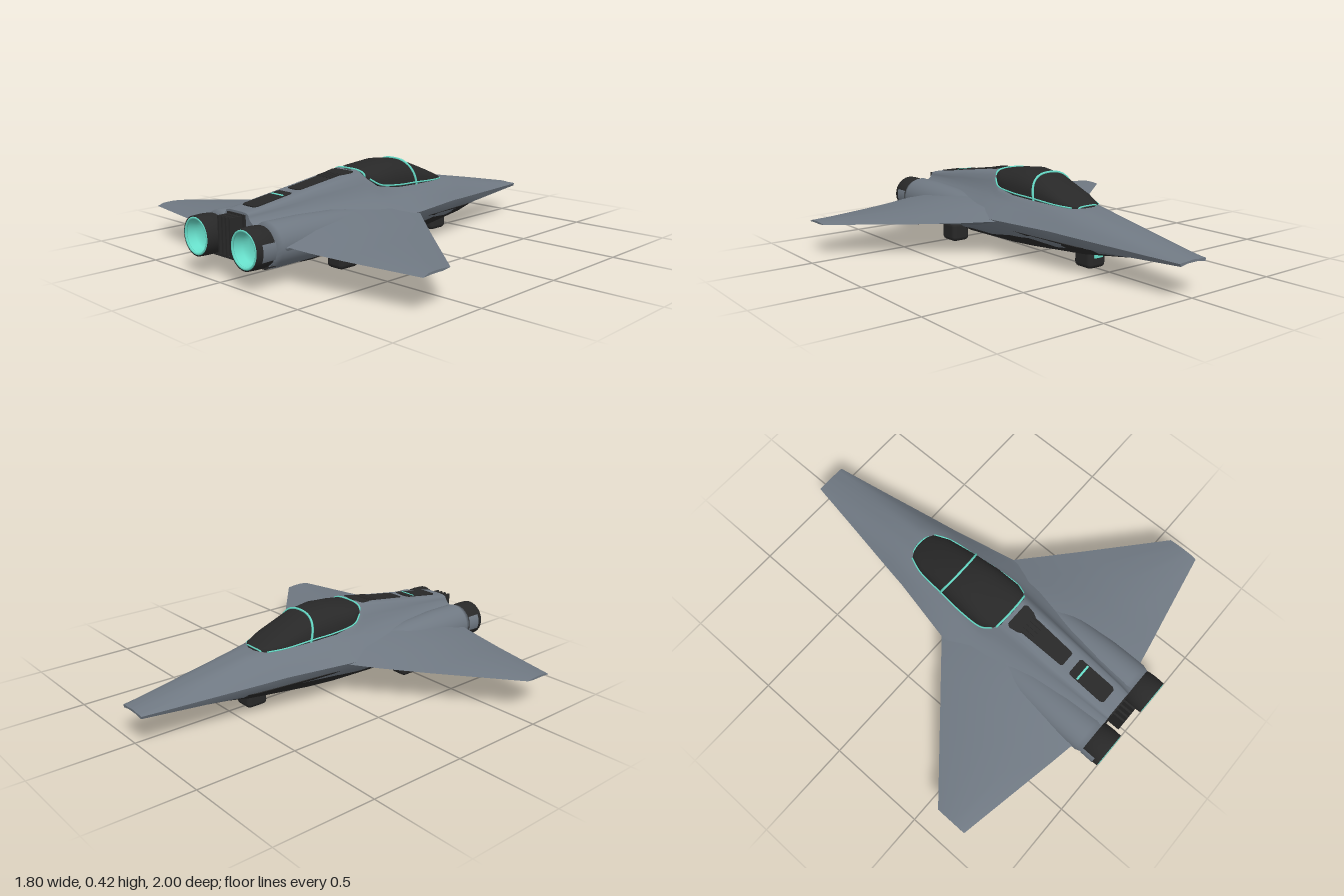
import * as THREE from 'three';
import { toCreasedNormals } from 'three/addons/utils/BufferGeometryUtils.js';
import { RoundedBoxGeometry } from 'three/addons/geometries/RoundedBoxGeometry.js';

const V = (x, y, z) => new THREE.Vector3(x, y, z);

// Skin a list of equal-length closed rings and cap both ends
function loft(rings, crease = 0.7) {
  const n = rings[0].length, pos = [], idx = [];
  rings.forEach(r => r.forEach(p => pos.push(p.x, p.y, p.z)));
  for (let i = 0; i < rings.length - 1; i++) {
    for (let j = 0; j < n; j++) {
      const a = i * n + j, b = i * n + (j + 1) % n;
      idx.push(a, a + n, b, b, a + n, b + n);
    }
  }
  [0, rings.length - 1].forEach(i => {
    const c = rings[i].reduce((s, p) => s.add(p), V(0, 0, 0)).divideScalar(n);
    const k = pos.length / 3;
    pos.push(c.x, c.y, c.z);
    for (let j = 0; j < n; j++) {
      const a = i * n + j, b = i * n + (j + 1) % n;
      if (i === 0) idx.push(k, a, b); else idx.push(k, b, a);
    }
  });
  const g = new THREE.BufferGeometry();
  g.setAttribute('position', new THREE.Float32BufferAttribute(pos, 3));
  g.setIndex(idx);
  return toCreasedNormals(g, crease);
}

// Half section from top centre to bottom centre, mirrored into a ring
function mirrorRing(half, z) {
  const left = half.map(p => V(p[0], p[1], z));
  const right = half.slice(1, -1).reverse().map(p => V(-p[0], p[1], z));
  return [...left, ...right];
}

// Fuselage: z, crown y, crown half width, shoulder x y, chine x y, floor half width, floor y
const HULL = [
  [-1, 0.167, 0.04, 0.065, 0.163, 0.08, 0.16, 0.05, 0.155],
  [-0.7, 0.225, 0.05, 0.095, 0.203, 0.131, 0.17, 0.085, 0.127],
  [-0.42, 0.275, 0.06, 0.125, 0.235, 0.18, 0.18, 0.12, 0.102],
  [-0.3, 0.285, 0.08, 0.142, 0.25, 0.2, 0.185, 0.14, 0.095],
  [0.03, 0.3, 0.11, 0.165, 0.26, 0.27, 0.19, 0.17, 0.085],
  [0.17, 0.318, 0.12, 0.165, 0.265, 0.27, 0.185, 0.18, 0.08],
  [0.25, 0.39, 0.085, 0.155, 0.28, 0.27, 0.183, 0.18, 0.078],
  [0.55, 0.346, 0.08, 0.13, 0.27, 0.27, 0.175, 0.19, 0.075],
  [0.85, 0.302, 0.075, 0.105, 0.26, 0.27, 0.17, 0.2, 0.075],
  [0.9, 0.295, 0.07, 0.1, 0.255, 0.25, 0.17, 0.2, 0.078],
];
function hullRing([z, yt, fx, mx, my, cx, cy, bx, by]) {
  const top = new THREE.SplineCurve([[0, yt], [fx, yt - 0.004], [mx, my], [cx, cy]]
    .map(p => new THREE.Vector2(...p))).getPoints(12).map(p => [p.x, p.y]);
  return mirrorRing([...top, [(cx + bx) / 2 + 0.01, (cy + by) / 2 - 0.01], [bx, by], [0, by]], z);
}

// Canopy: z, half width, base y, top y
const CANOPY = [
  [-0.36, 0.03, 0.278, 0.285], [-0.33, 0.08, 0.28, 0.302], [-0.25, 0.11, 0.283, 0.337],
  [-0.08, 0.128, 0.288, 0.406], [0.05, 0.14, 0.295, 0.42], [0.17, 0.138, 0.315, 0.407],
  [0.22, 0.115, 0.35, 0.399], [0.25, 0.085, 0.382, 0.393],
];
function canopyPoint(z, t, grow = 0) {
  let i = 0;
  while (i < CANOPY.length - 2 && z > CANOPY[i + 1][0]) i++;
  const a = CANOPY[i], b = CANOPY[i + 1], k = (z - a[0]) / (b[0] - a[0]);
  const [w, lo, hi] = [1, 2, 3].map(c => a[c] + (b[c] - a[c]) * k);
  const c = Math.cos(t), s = Math.max(0, Math.sin(t));
  return V(Math.sign(c) * Math.abs(c) ** 0.8 * (w + grow), lo + s ** 0.8 * (hi - lo + grow), z);
}

export function createModel() {
  const group = new THREE.Group();
  const mat = (name, color, side = THREE.FrontSide) => {
    const m = new THREE.MeshStandardMaterial({ color, side });
    m.name = name;
    return m;
  };
  const grey = mat('hullGrey', 0x6f7882);
  const dark = mat('darkPanel', 0x282828, THREE.DoubleSide);
  const teal = mat('tealGlow', 0x66dcc8, THREE.DoubleSide);
  const add = (name, geo, material, x = 0, y = 0, z = 0) => {
    const m = new THREE.Mesh(geo, material);
    m.name = name;
    m.position.set(x, y, z);
    group.add(m);
    return m;
  };
  const lathe = (pts, seg = 28) => new THREE.LatheGeometry(
    pts.map(p => new THREE.Vector2(...p)), seg).rotateX(Math.PI / 2);
  const tube = (pts, r) => new THREE.TubeGeometry(new THREE.CatmullRomCurve3(pts), 40, r, 6);

  add('fuselage', loft(HULL.map(hullRing), 0.8), grey);

  // Belly: z, upper x y, lower x y
  const belly = [
    [-0.75, 0.07, 0.14, 0.05, 0.126], [-0.45, 0.165, 0.135, 0.11, 0.093],
    [-0.15, 0.215, 0.145, 0.16, 0.08], [0, 0.238, 0.15, 0.17, 0.073],
    [0.36, 0.24, 0.15, 0.18, 0.068], [0.41, 0.2, 0.105, 0.17, 0.067], [0.9, 0.22, 0.09, 0.18, 0.07],
  ].map(([z, x1, y1, x2, y2]) => mirrorRing([[0, y1], [x1, y1], [x2, y2], [0, y2]], z));
  add('belly', loft(belly, 0.4), dark);

  // Wings: x, leading z, trailing z, edge y, top y, bottom y
  const span = [
    [0.12, -0.1, 0.88, 0.185, 0.255, 0.12], [0.27, 0.03, 0.85, 0.182, 0.232, 0.13],
    [0.38, 0.124, 0.83, 0.174, 0.208, 0.138], [0.55, 0.27, 0.797, 0.167, 0.187, 0.147],
    [0.9, 0.57, 0.73, 0.16, 0.166, 0.155],
  ];
  for (const s of [1, -1]) {
    const side = s > 0 ? 'left' : 'right';
    const rings = span.map(([x, le, te, e, t, b]) => {
      const at = (f, y) => V(s * x, y, le + (te - le) * f);
      return [at(1, e - 0.008), at(0.8, e + (t - e) * 0.6), at(0.5, t), at(0.22, e + (t - e) * 0.7),
        at(0, e), at(0.25, b), at(0.7, b)];
    });
    add(side + 'Wing', loft(s > 0 ? rings : rings.reverse(), 0.6), grey);

    // Engine nacelle, nozzle and glowing bowl
    const ex = s * 0.168, ey = 0.172;
    add(side + 'Nacelle', lathe([[0.03, 0.1], [0.06, 0.28], [0.088, 0.5], [0.098, 0.7],
      [0.098, 0.87], [0.088, 0.9], [0, 0.9]]), grey, ex, ey);
    add(side + 'Nozzle', lathe([[0.08, 0.88], [0.09, 0.91], [0.092, 0.95], [0.09, 0.997],
      [0.08, 0.997]]), dark, ex, ey);
    add(side + 'NozzleSidePlate', new THREE.CylinderGeometry(0.0945, 0.0925, 0.07, 8, 1, true,
      s * Math.PI / 2 - 0.5, 0.85).rotateX(Math.PI / 2), grey, ex, ey, 0.935);
    add(side + 'NozzleRim', new THREE.TorusGeometry(0.08, 0.006, 8, 32), teal, ex, ey, 0.994);
    add(side + 'EngineGlow', lathe([[0, 0.925], [0.055, 0.93], [0.066, 0.955], [0.08, 0.995]]), teal, ex, ey);

    // Rear landing foot and belly pod
    add(side + 'RearFoot', new RoundedBoxGeometry(0.1, 0.1, 0.115, 2, 0.022), dark, s * 0.2, 0.05, 0.475);
    add(side + 'BellyPod', new THREE.SphereGeometry(1, 16, 10).scale(0.06, 0.03, 0.13), dark, s * 0.13, 0.083, 0.64);
  }

  // Nose landing foot with lamp
  add('noseFoot', new RoundedBoxGeometry(0.105, 0.13, 0.115, 2, 0.022), dark, 0, 0.065, -0.365);
  add('noseLamp', new THREE.BoxGeometry(0.05, 0.025, 0.008), teal, 0, 0.065, -0.424);

  // Canopy glass and its bright frame
  const arc = (z0, z1, grow) => Array.from({ length: 17 }, (_, i) => {
    const t = Math.PI * i / 16;
    return canopyPoint(z0 + (z1 - z0) * Math.sin(t), t, grow);
  });
  const glass = CANOPY.map(([z]) => arc(z, z).reverse());
  add('canopy', loft(glass, 0.7), dark);
  add('canopyHoop', tube(arc(-0.1, -0.065, 0.002), 0.006), teal);
  add('canopyRearFrame', tube(arc(0.235, 0.245, 0.002), 0.005), teal);
  add('canopyFrontFrame', tube(arc(-0.345, -0.355, 0.001), 0.004), teal);
  for (const t of [0.05, Math.PI - 0.05]) {
    const rail = CANOPY.slice(1, -1).map(c => canopyPoint(c[0], t, 0.003));
    add('canopyRail', tube(rail, 0.004), teal);
  }

  // Dark spine panels following the sloping back
  const slope = Math.atan(0.146);
  const spineY = z => 0.39 - (z - 0.25) * 0.146;
  function spinePanel(name, pts, material, lift = 0) {
    const outline = [...pts, ...pts.map(([x, z]) => [-x, z]).reverse()];
    const shape = new THREE.Shape(outline.map(([x, z]) => new THREE.Vector2(x, -(z - 0.25))));
    const geo = new THREE.ExtrudeGeometry(shape, { depth: 0.008, bevelEnabled: false });
    geo.rotateX(-Math.PI / 2);
    add(name, geo, material, 0, 0.387 + lift, 0.25).rotation.x = slope;
  }
  spinePanel('frontSpinePanel', [[0.06, 0.27], [0.07, 0.285], [0.062, 0.33], [0.05, 0.35],
    [0.042, 0.58], [0.036, 0.59]], dark);
  spinePanel('rearSpinePanel', [[0.04, 0.635], [0.047, 0.645], [0.047, 0.83], [0.038, 0.845]], dark);
  spinePanel('spineLight', [[0.042, 0.678], [0.042, 0.688]], teal, 0.002);
  for (let i = -2; i <= 2; i++) {
    add('spineFin', new THREE.BoxGeometry(0.007, 0.014, 0.07), dark, i * 0.022, spineY(0.37) + 0.003, 0.37)
      .rotation.x = slope;
  }

  // Tail grille between the engines
  add('tailGrille', new THREE.BoxGeometry(0.12, 0.2, 0.03), dark, 0, 0.185, 0.892);
  for (let i = 0; i < 4; i++) {
    add('tailFin', new THREE.BoxGeometry(0.01, 0.17, 0.07), dark, -0.039 + i * 0.026, 0.195, 0.935);
  }
  return group;
}
